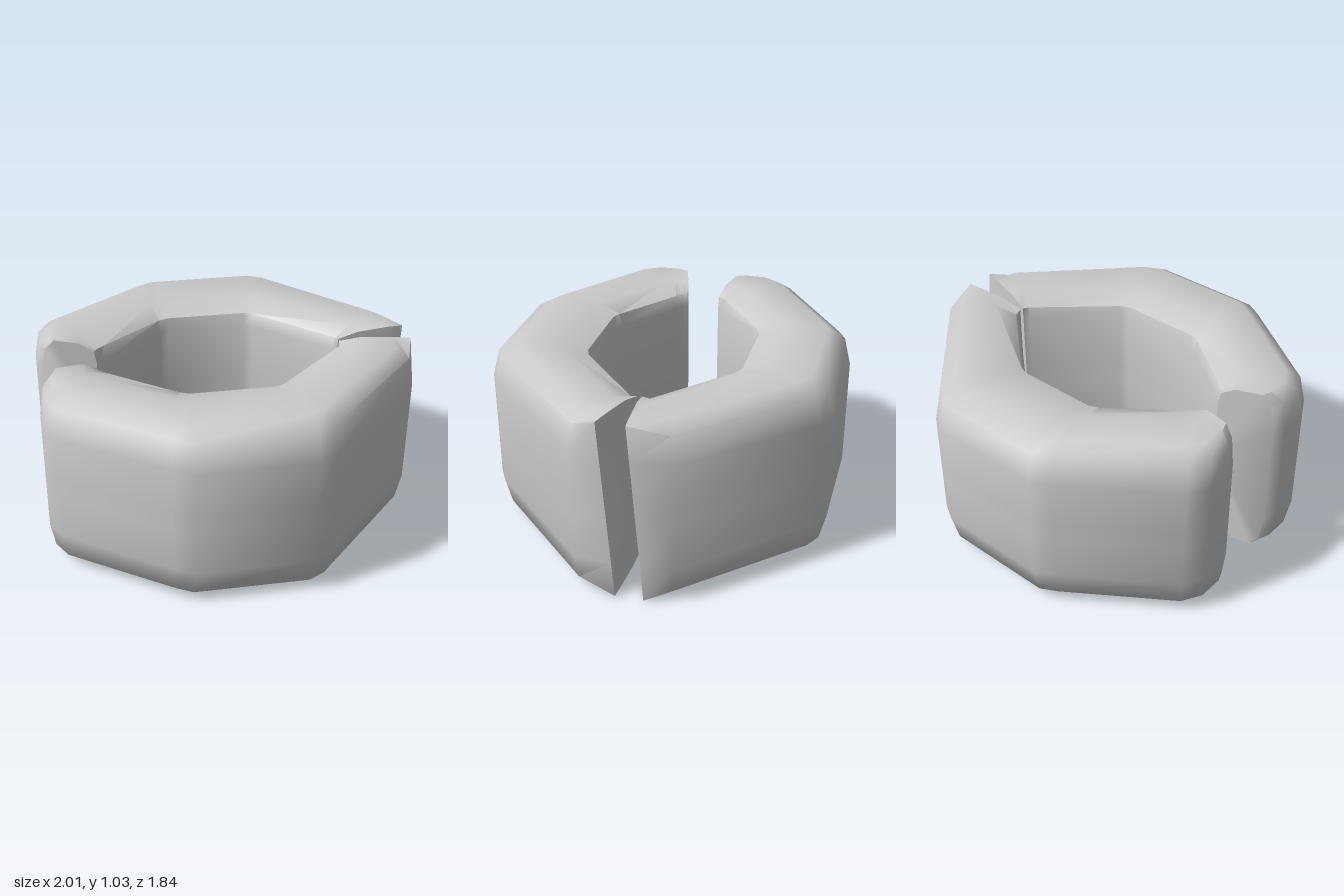
import * as THREE from 'three';
import { toCreasedNormals } from 'three/addons/utils/BufferGeometryUtils.js';

// Upper half of the cross-section: [0 = inner wall .. 1 = outer wall, height]
const upper = [[0, 0.55], [0, 0.88], [0.04, 0.95], [0.3, 0.995], [0.76, 1.005], [0.93, 0.95], [1, 0.8], [1, 0.55]];
// The same points drawn out to square corners, used where the shell ends
const square = [[0, 0.55], [0, 0.9], [0, 0.96], [0.3, 0.99], [0.76, 1], [1, 1], [1, 0.8], [1, 0.55]];
const mirrored = (half) => [...half, ...half.map(([u, y]) => [u, 1 - y]).reverse()];

// Stations along the half ring: inner x, inner z, outer x, outer z
const stations = [
  [-0.68, 0.09, -0.97, 0.17],
  [-0.67, 0.1, -1, 0.24],
  [-0.66, 0.11, -1, 0.39],
  [-0.62, 0.14, -0.94, 0.5],
  [-0.3, 0.38, -0.4, 0.87],
  [-0.25, 0.4, -0.31, 0.92],
  [0.18, 0.4, 0.31, 0.92],
  [0.23, 0.38, 0.4, 0.87],
  [0.61, 0.04, 0.98, 0.26],
  [0.63, 0.01, 1, 0.04],
];

function shellGeometry() {
  const positions = [];
  const index = [];
  const n = upper.length * 2;
  const last = stations.length - 1;

  // Rings of the loft; the final one is squared and its outer edge leans
  stations.forEach(([ix, iz, ox, oz], s) => {
    for (const [u, y] of mirrored(s === last ? square : upper)) {
      const lean = s === last ? 0.07 * u * y : 0;
      positions.push(ix + (ox - ix) * u, y, iz + (oz - iz) * u + lean);
    }
  });

  // Walls between rings
  for (let s = 0; s < last; s++) {
    for (let i = 0; i < n; i++) {
      const a = s * n + i;
      const b = s * n + (i + 1) % n;
      index.push(a, b, a + n, b, b + n, a + n);
    }
  }

  // End caps
  const end = last * n;
  for (let i = 1; i < n - 1; i++) {
    index.push(0, i + 1, i);
    index.push(end, end + i, end + i + 1);
  }

  const geometry = new THREE.BufferGeometry();
  geometry.setAttribute('position', new THREE.Float32BufferAttribute(positions, 3));
  geometry.setIndex(index);
  return toCreasedNormals(geometry, 0.95);
}

export function createModel() {
  const model = new THREE.Group();
  model.name = 'splitRing';
  const material = new THREE.MeshStandardMaterial({ color: 0xcccccc, side: THREE.DoubleSide });
  const geometry = shellGeometry();

  const front = new THREE.Mesh(geometry, material);
  front.name = 'frontHalfRing';

  // The rear half is the front half turned over about the x axis
  const back = new THREE.Mesh(geometry, material);
  back.name = 'backHalfRing';
  back.rotation.x = Math.PI;
  back.position.y = 1;

  // Slight tilt of the whole ring
  const ring = new THREE.Group();
  ring.name = 'ring';
  ring.add(front, back);
  ring.rotation.z = -0.01;
  ring.position.set(-0.005, 0.01, 0);
  model.add(ring);
  return model;
}
